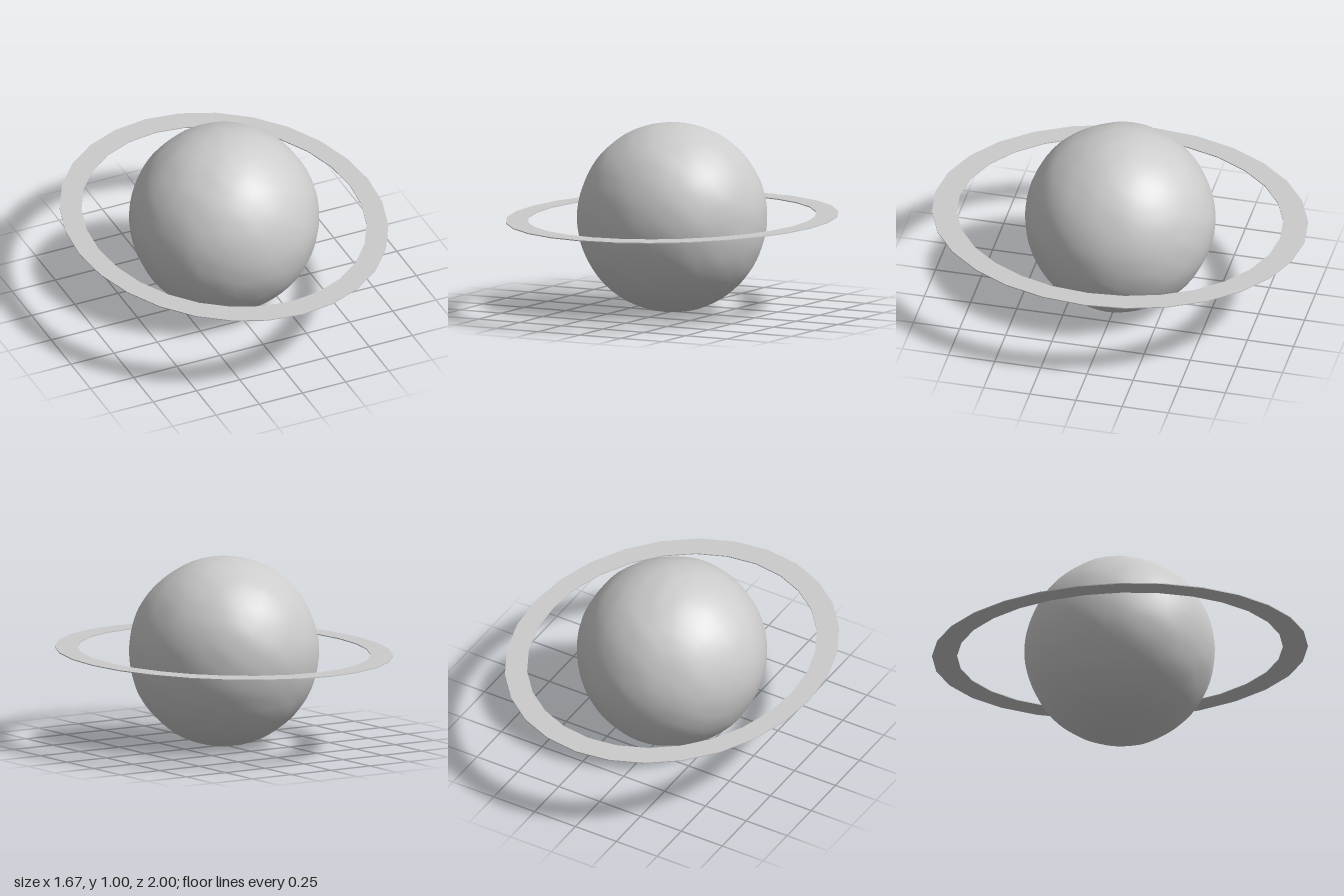
import * as THREE from 'three';
import { mergeVertices } from 'three/addons/utils/BufferGeometryUtils.js';

const CENTRE_Y = 0.507;

// Seeded hash and smooth value noise, -1..1
function hash(x, y, z) {
  const s = Math.sin(x * 127.1 + y * 311.7 + z * 74.7) * 43758.5453;
  return (s - Math.floor(s)) * 2 - 1;
}
function noise(p, scale) {
  const q = [p.x, p.y, p.z].map(v => v * scale + 50);
  const i = q.map(Math.floor);
  const f = q.map((v, k) => THREE.MathUtils.smoothstep(v - i[k], 0, 1));
  let sum = 0;
  for (let c = 0; c < 8; c++) {
    const d = [c & 1, (c >> 1) & 1, c >> 2];
    const w = d.reduce((a, bit, k) => a * (bit ? f[k] : 1 - f[k]), 1);
    sum += w * hash(i[0] + d[0], i[1] + d[1], i[2] + d[2]);
  }
  return sum;
}

// Sphere with a gently rugged surface, welded for smooth normals
function planetGeometry() {
  let g = new THREE.SphereGeometry(0.502, 64, 48);
  g.deleteAttribute('uv');
  g.deleteAttribute('normal');
  g = mergeVertices(g, 1e-4);
  const pos = g.attributes.position;
  const v = new THREE.Vector3();
  for (let i = 0; i < pos.count; i++) {
    v.fromBufferAttribute(pos, i);
    v.multiplyScalar(1 + 0.008 * noise(v, 5) + 0.004 * noise(v, 14));
    pos.setXYZ(i, v.x, v.y, v.z);
  }
  g.computeVertexNormals();
  return g;
}

// Corner points of a 28-sided oval
function oval(rx, rz) {
  return Array.from({ length: 28 }, (_, i) => {
    const a = (i / 28) * Math.PI * 2;
    return new THREE.Vector2(rx * Math.cos(a), rz * Math.sin(a));
  });
}

// Thin flat oval band
function ringGeometry() {
  const shape = new THREE.Shape(oval(0.837, 1));
  shape.holes.push(new THREE.Path(oval(0.726, 0.867)));
  const depth = 0.005;
  const g = new THREE.ExtrudeGeometry(shape, { depth, bevelEnabled: false });
  g.translate(0, 0, -depth / 2);
  g.rotateX(-Math.PI / 2);
  return g;
}

export function createModel() {
  const group = new THREE.Group();
  group.name = 'ringedPlanet';
  const parts = { planet: planetGeometry(), ring: ringGeometry() };
  for (const [name, geometry] of Object.entries(parts)) {
    const material = new THREE.MeshStandardMaterial({ color: 0xcccccc, flatShading: name === 'ring' });
    const mesh = new THREE.Mesh(geometry, material);
    mesh.name = name;
    mesh.position.y = CENTRE_Y;
    group.add(mesh);
  }
  // Rest the planet on the ground
  const box = new THREE.Box3().setFromObject(group);
  group.children.forEach(m => { m.position.y -= box.min.y; });
  return group;
}
